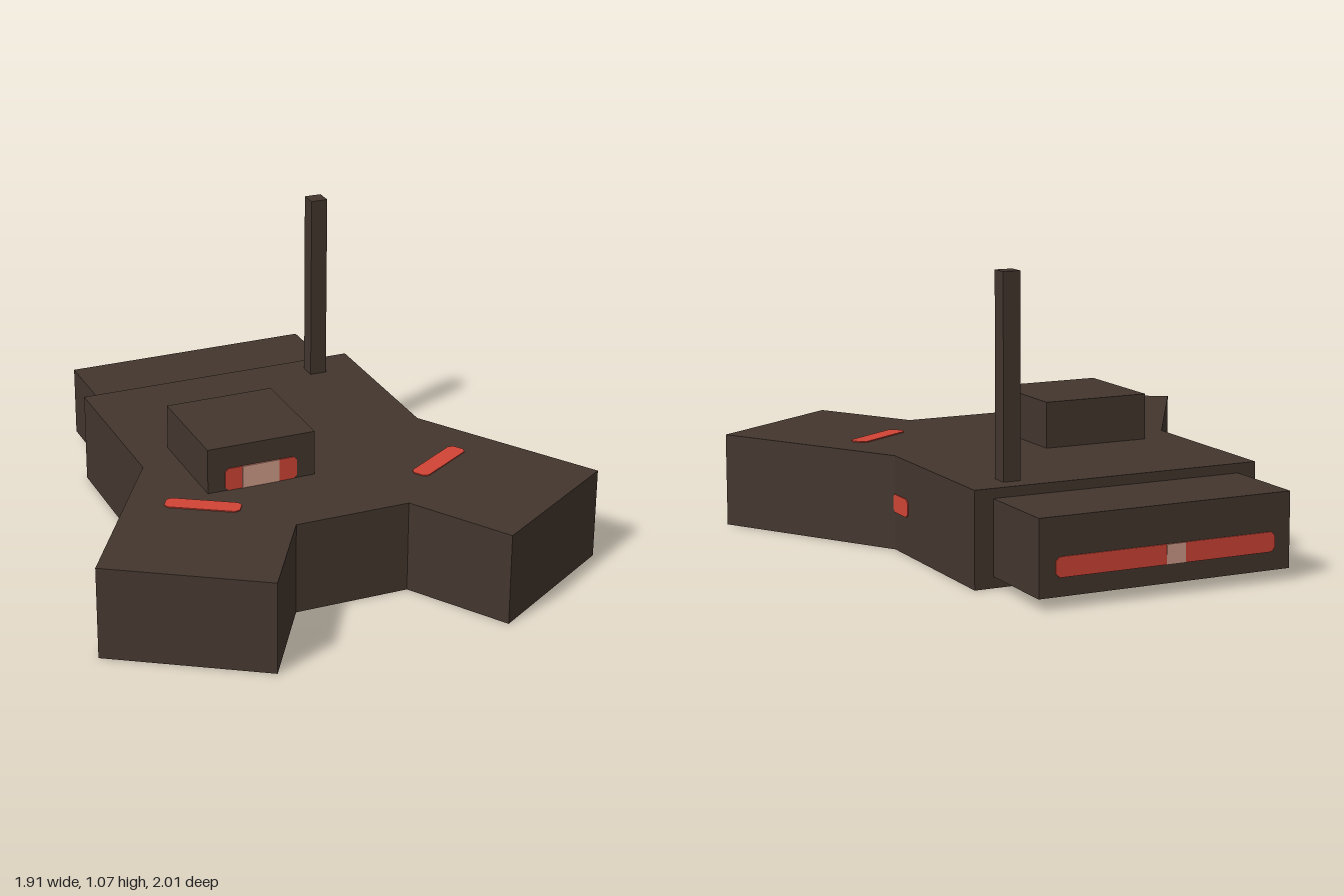
import * as THREE from 'three';

const hull = new THREE.MeshStandardMaterial({ color: 0x43362e, name: 'hullBrown' });
const red = new THREE.MeshStandardMaterial({ color: 0xd04436, name: 'lightRed' });
const pale = new THREE.MeshStandardMaterial({ color: 0xd09d89, name: 'palePanel' });

const HULL_TOP = 0.345;
const PLATE = 0.004;

// Box given by its limits on each axis
function block(name, [x0, x1], [y0, y1], [z0, z1]) {
  const mesh = new THREE.Mesh(new THREE.BoxGeometry(x1 - x0, y1 - y0, z1 - z0), hull);
  mesh.position.set((x0 + x1) / 2, (y0 + y1) / 2, (z0 + z1) / 2);
  mesh.name = name;
  return mesh;
}

// Thin plate with clipped corners, facing +z before it is placed
function plate(name, w, h, clip, material) {
  const a = w / 2, b = h / 2, c = clip;
  const shape = new THREE.Shape([
    [-a + c, -b], [a - c, -b], [a, -b + c], [a, b - c],
    [a - c, b], [-a + c, b], [-a, b - c], [-a, -b + c],
  ].map(([x, y]) => new THREE.Vector2(x, y)));
  const geometry = new THREE.ExtrudeGeometry(shape, { depth: PLATE, bevelEnabled: false });
  const mesh = new THREE.Mesh(geometry, material);
  mesh.name = name;
  return mesh;
}

export function createModel() {
  const model = new THREE.Group();
  model.name = 'forkedVessel';

  // Hull with two splayed front arms: half outline mirrored across x
  const half = [[0.55, -0.66], [0.55, 0.01], [0.955, 0.67], [0.435, 1], [0.215, 0.64]];
  const outline = [...half, ...half.map(([x, z]) => [-x, z]).reverse()];
  const hullGeometry = new THREE.ExtrudeGeometry(
    new THREE.Shape(outline.map(([x, z]) => new THREE.Vector2(x, -z))),
    { depth: HULL_TOP, bevelEnabled: false },
  ).rotateX(-Math.PI / 2);
  const body = new THREE.Mesh(hullGeometry, hull);
  body.name = 'hull';
  model.add(body);

  // Stern, cabin and mast
  model.add(block('stern', [-0.48, 0.48], [0.04, 0.31], [-1, -0.66]));
  model.add(block('cabin', [-0.41, 0], [HULL_TOP, 0.515], [-0.11, 0.3]));
  model.add(block('mast', [0.34, 0.405], [HULL_TOP, 1.065], [-0.585, -0.52]));

  // Cabin window with a pale middle pane
  const cabinWindow = plate('cabinWindow', 0.275, 0.085, 0.012, red);
  cabinWindow.position.set(-0.207, 0.388, 0.3);
  const cabinPane = plate('cabinPane', 0.14, 0.085, 0, pale);
  cabinPane.position.set(-0.209, 0.388, 0.302);
  model.add(cabinWindow, cabinPane);

  // Stern light strip with a pale middle lamp
  const sternLight = plate('sternLight', 0.84, 0.07, 0.015, red);
  sternLight.position.set(0, 0.14, -1);
  const sternLamp = plate('sternLamp', 0.072, 0.07, 0, pale);
  sternLamp.position.set(-0.032, 0.14, -1.002);
  for (const part of [sternLight, sternLamp]) {
    part.rotation.y = Math.PI;
    model.add(part);
  }

  // Lights on the hull sides and strips across the arms
  for (const side of [1, -1]) {
    const name = side > 0 ? 'left' : 'right';
    const sideLight = plate(name + 'SideLight', 0.13, 0.066, 0.015, red);
    sideLight.position.set(side * 0.55, 0.172, -0.045);
    sideLight.rotation.y = side * Math.PI / 2;
    model.add(sideLight);

    const armStrip = plate(name + 'ArmStrip', 0.27, 0.07, 0.015, red);
    armStrip.geometry.rotateX(-Math.PI / 2);
    armStrip.position.set(side * 0.459, HULL_TOP, 0.379);
    armStrip.rotation.y = side * Math.atan2(0.405, 0.66);
    model.add(armStrip);
  }

  return model;
}
